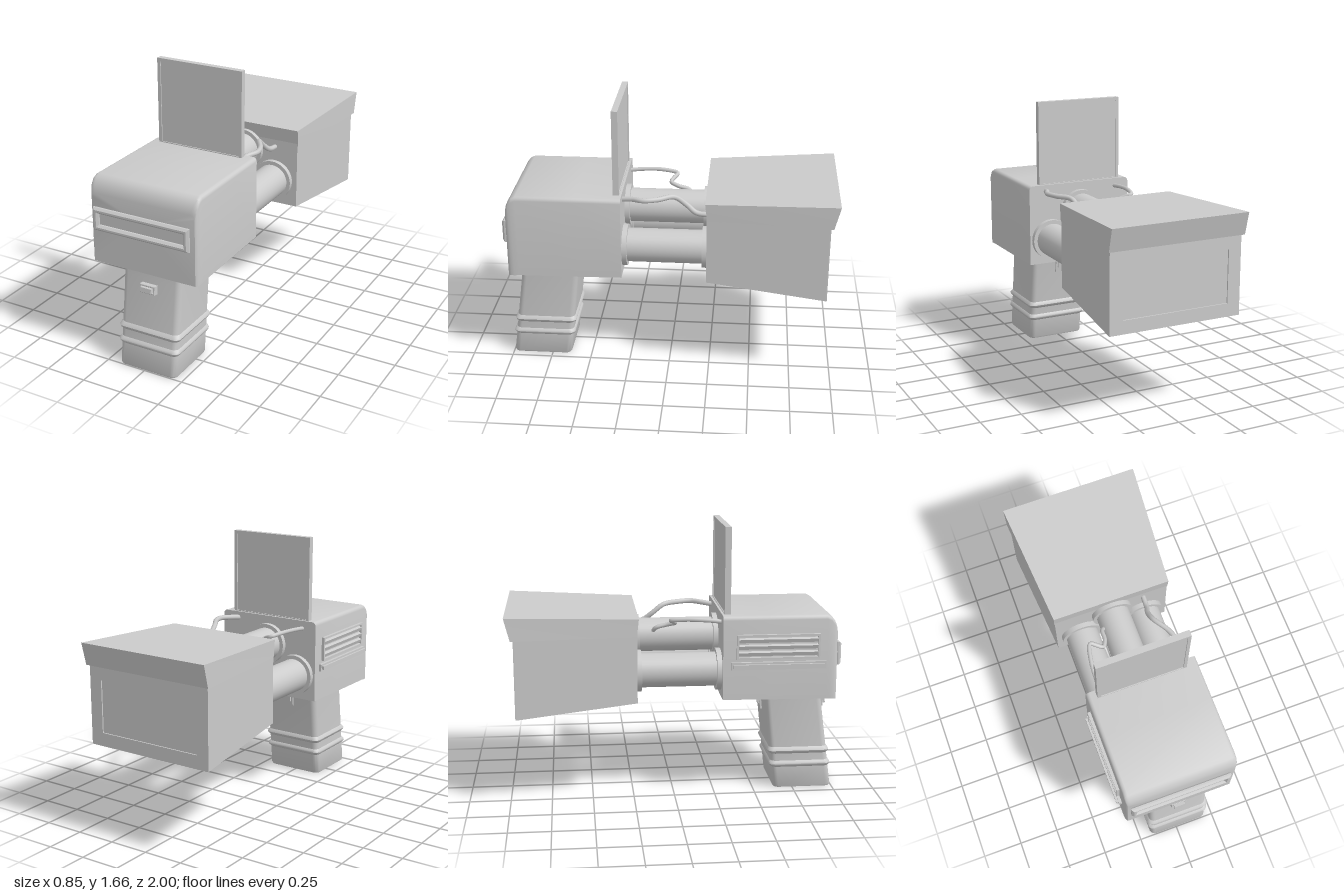
import * as THREE from 'three';
import { toCreasedNormals } from 'three/addons/utils/BufferGeometryUtils.js';

const material = new THREE.MeshStandardMaterial({ color: 0xcccccc, side: THREE.DoubleSide });

// Skin equal-sized rings of [x, y, z] points and close both ends
function loft(rings, crease = 0.6) {
  const n = rings[0].length, pos = rings.flat(2), idx = [];
  for (let r = 0; r < rings.length - 1; r++) {
    for (let i = 0; i < n; i++) {
      const a = r * n + i, b = r * n + (i + 1) % n;
      idx.push(a, b, b + n, a, b + n, a + n);
    }
  }
  [0, rings.length - 1].forEach((r, end) => {
    const c = pos.length / 3;
    pos.push(...[0, 1, 2].map((k) => rings[r].reduce((s, p) => s + p[k], 0) / n));
    for (let i = 0; i < n; i++) {
      const a = r * n + i, b = r * n + (i + 1) % n;
      idx.push(...(end ? [c, a, b] : [c, b, a]));
    }
  });
  const g = new THREE.BufferGeometry();
  g.setAttribute('position', new THREE.Float32BufferAttribute(pos, 3));
  g.setIndex(idx);
  return toCreasedNormals(g, crease);
}

function roundedRect(hw, hh, r, steps = 5) {
  const pts = [];
  for (let q = 0; q < 4; q++) {
    const sx = q === 0 || q === 3 ? 1 : -1, sy = q < 2 ? 1 : -1;
    for (let i = 0; i <= steps; i++) {
      const a = (q + i / steps) * Math.PI / 2;
      pts.push([sx * (hw - r) + r * Math.cos(a), sy * (hh - r) + r * Math.sin(a)]);
    }
  }
  return pts;
}

// Rectangular rim standing on z = 0
function rim(w, h, border, depth, bevel = 0) {
  const rect = (P, a, b) => {
    const p = new P();
    p.moveTo(-a, -b); p.lineTo(a, -b); p.lineTo(a, b); p.lineTo(-a, b); p.closePath();
    return p;
  };
  const s = rect(THREE.Shape, w / 2 - bevel, h / 2 - bevel);
  s.holes.push(rect(THREE.Path, w / 2 - border + bevel, h / 2 - border + bevel));
  const g = new THREE.ExtrudeGeometry(s, {
    depth: depth - bevel * 2, bevelEnabled: bevel > 0, bevelSize: bevel, bevelThickness: bevel, bevelSegments: 1,
  });
  return g.translate(0, 0, bevel);
}

export function createModel() {
  const model = new THREE.Group();
  const add = (name, geo, x = 0, y = 0, z = 0, parent = model) => {
    const m = new THREE.Mesh(geo, material);
    m.name = name;
    m.position.set(x, y, z);
    parent.add(m);
    return m;
  };
  const box = (name, w, h, d, x, y, z) => add(name, new THREE.BoxGeometry(w, h, d), x, y, z);

  // Housing: sections [z, half width, bottom edge, bottom middle, top]
  const section = ([z, w, edge, mid, top]) => {
    const pts = [[-w, edge, z], [-0.18, mid, z], [0.2, mid, z], [w, edge, z]], r = 0.025;
    for (let i = 0; i <= 8; i++) {
      const a = (i % 4.5) / 4 * Math.PI / 2;
      if (i <= 4) pts.push([w - r + r * Math.cos(a), top - r + r * Math.sin(a), z]);
    }
    for (let i = 0; i <= 4; i++) {
      const a = (1 + i / 4) * Math.PI / 2;
      pts.push([-w + r + r * Math.cos(a), top - r + r * Math.sin(a), z]);
    }
    return pts;
  };
  add('housing', loft([
    [0.28, 0.345, 0.632, 0.632, 1.14],
    [0.56, 0.345, 0.628, 0.605, 1.14],
    [0.905, 0.345, 0.625, 0.605, 1.14],
    [0.932, 0.345, 0.622, 0.61, 1.128],
    [0.952, 0.343, 0.622, 0.614, 1.102],
    [0.964, 0.338, 0.621, 0.618, 1.075],
    [0.97, 0.332, 0.621, 0.62, 1.045],
  ].map(section)));

  // Front slot
  add('slotFrame', rim(0.62, 0.14, 0.035, 0.035, 0.012), -0.005, 0.897, 0.965);
  box('slotPlate', 0.56, 0.1, 0.01, -0.005, 0.897, 0.972);

  // Raised screen
  box('screen', 0.545, 0.525, 0.025, -0.007, 1.395, 0.3125);
  add('screenRim', rim(0.557, 0.535, 0.02, 0.037), -0.007, 1.393, 0.294);

  // Grip: sections [y, swell], leaning forward towards the foot
  add('grip', loft([
    [0, -0.004], [0.01, 0], [0.135, 0], [0.145, 0.009], [0.155, 0.012], [0.165, 0.009], [0.175, 0],
    [0.222, 0], [0.232, 0.009], [0.243, 0.013], [0.254, 0.009], [0.265, 0], [0.56, 0], [0.64, 0.004],
  ].map(([y, s]) => roundedRect(0.19 + s, 0.184 - y * 0.012 + s, 0.035)
    .map(([u, v]) => [0.015 + u, y, 0.814 - y * 0.122 - v]))));

  // Grip buttons
  const button = new THREE.Group();
  button.name = 'frontButton';
  button.position.set(0.01, 0.51, 0.925);
  button.rotation.x = -0.13;
  add('buttonRim', rim(0.1, 0.052, 0.012, 0.035, 0.003), 0, 0, 0, button);
  add('buttonKey', new THREE.BoxGeometry(0.07, 0.026, 0.055), 0, 0, 0.025, button);
  model.add(button);
  const trigger = new THREE.Group();
  trigger.name = 'rearTrigger';
  trigger.position.set(0.015, 0.52, 0.573);
  trigger.rotation.x = -0.13;
  add('triggerPlate', new THREE.BoxGeometry(0.052, 0.1, 0.025), 0, 0, 0, trigger);
  add('triggerKey', new THREE.BoxGeometry(0.028, 0.055, 0.025), 0, 0.012, -0.012, trigger);
  model.add(trigger);

  // Three barrels with collars at both ends
  for (const [x, y] of [[0, 0.965], [-0.205, 0.79], [0.205, 0.79]]) {
    add('barrel', new THREE.CylinderGeometry(0.103, 0.103, 0.52, 32).rotateX(Math.PI / 2), x, y, 0.025);
    for (const z of [0.265, -0.215]) {
      add('collar', new THREE.CylinderGeometry(0.127, 0.127, 0.03, 32).rotateX(Math.PI / 2), x, y, z);
    }
  }

  // Cables
  const cable = (name, r, pts) => add(name, new THREE.TubeGeometry(
    new THREE.CatmullRomCurve3(pts.map((p) => new THREE.Vector3(...p))), 40, r, 8));
  cable('leftCable', 0.016, [[0.23, 1.1, 0.29], [0.25, 1.11, 0.22], [0.28, 1.115, 0.15], [0.26, 1.115, 0.07],
    [0.2, 1.11, -0.03], [0.19, 1.06, -0.1], [0.205, 1.015, -0.16], [0.21, 1.005, -0.24]]);
  cable('rightCable', 0.013, [[-0.25, 1.09, 0.29], [-0.25, 1.1, 0.2], [-0.24, 1.105, 0.08], [-0.21, 1.095, -0.02],
    [-0.17, 1.08, 0], [-0.14, 1.065, 0.015], [-0.112, 1.05, -0.03], [-0.105, 1.03, -0.1], [-0.08, 1, -0.12]]);
  cable('lowerCable', 0.015, [[0.03, 0.72, 0.29], [0.03, 0.7, 0.17], [0, 0.683, 0.02], [-0.02, 0.7, -0.12], [-0.02, 0.72, -0.24]]);

  // Flared rear box with overhanging lid
  const rect = (w, y0, y1, z0, z1 = z0) => [[-w, y0, z0], [w, y0, z0], [w, y1, z1], [-w, y1, z1]];
  add('rearBox', loft([rect(0.414, 0.56, 1.06, -0.942), rect(0.363, 0.63, 1.06, -0.23)], 0.1));
  add('rearLid', loft([rect(0.427, 1.035, 1.172, -0.965, -1), rect(0.367, 1.035, 1.14, -0.232, -0.22)], 0.1));
  const rearShape = rim(0.828, 0.475, 0.08, 0.008);
  add('rearRim', rearShape, 0, 0.7975, -0.95);

  // Right side vent and rail
  add('ventFrame', rim(0.5, 0.15, 0.012, 0.02).rotateY(-Math.PI / 2), -0.343, 0.955, 0.61);
  for (const y of [0.915, 0.955, 0.995]) {
    const slat = box('ventSlat', 0.022, 0.022, 0.48, -0.35, y, 0.61);
    slat.rotation.z = 0.35;
  }
  box('sideRailBase', 0.02, 0.045, 0.57, -0.352, 0.84, 0.615);
  box('sideRail', 0.03, 0.022, 0.55, -0.36, 0.84, 0.615);

  return model;
}
